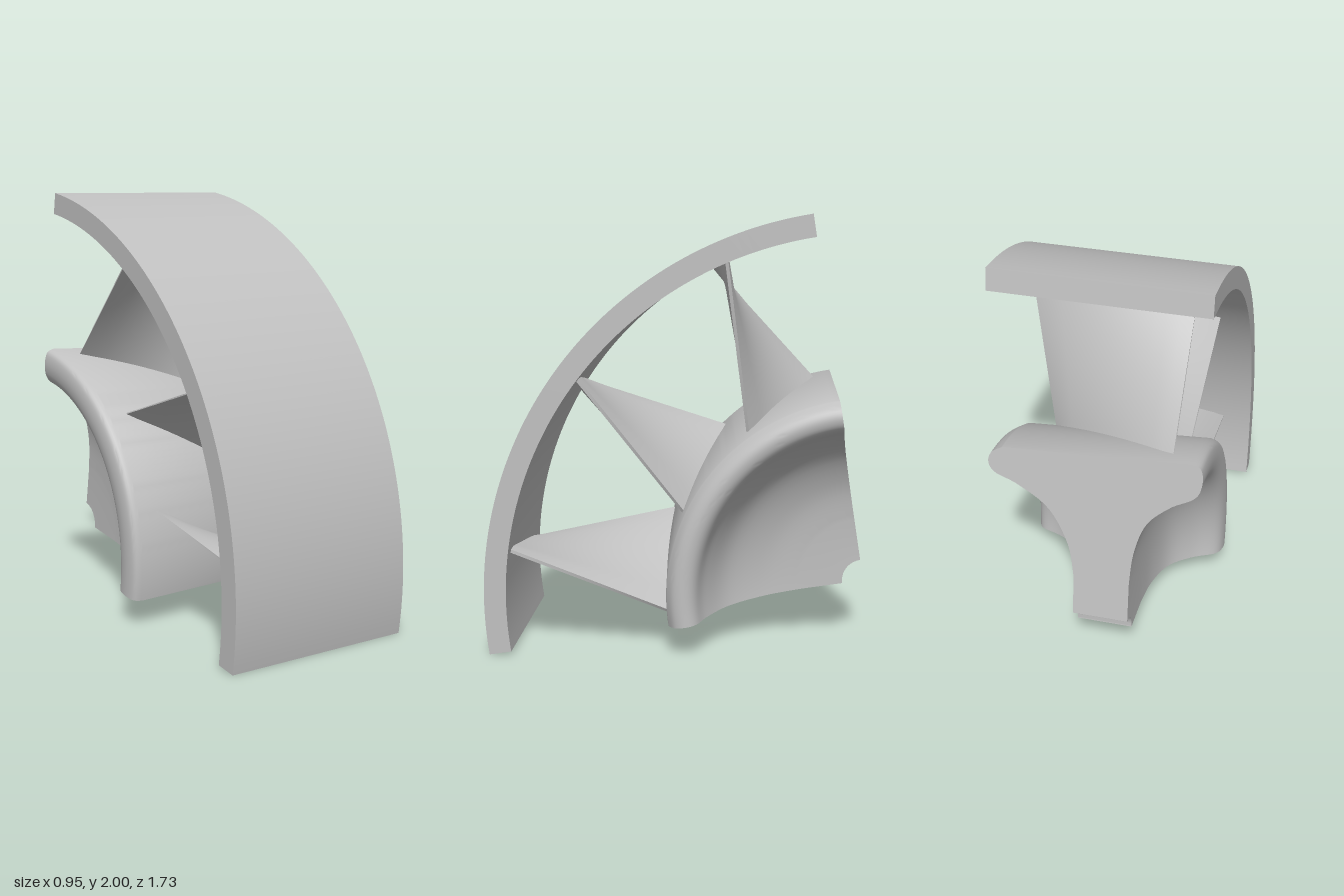
import * as THREE from 'three';
import { mergeGeometries, toCreasedNormals } from 'three/addons/utils/BufferGeometryUtils.js';

const rad = THREE.MathUtils.degToRad;
const START = rad(-9), SWEEP = rad(90);   // quarter sector
const AXIS = { y: 0.273, z: -0.874 };     // rotor axis, running along x

// Sweep a closed (x, radius) outline around the rotor axis and cap both cut ends.
function sector(outline, segments) {
  const pts = outline.map(([x, r]) => new THREE.Vector2(r, -x));
  const skin = new THREE.LatheGeometry([...pts, pts[0].clone()], segments, START, SWEEP);
  const startCap = new THREE.ShapeGeometry(new THREE.Shape(pts));
  const endCap = startCap.clone();
  endCap.index.array.reverse();
  startCap.rotateY(START - Math.PI / 2);
  endCap.rotateY(START + SWEEP - Math.PI / 2);
  const geo = toCreasedNormals(mergeGeometries([skin, startCap, endCap]), 0.6);
  geo.rotateZ(Math.PI / 2);
  return geo.translate(0, AXIS.y, AXIS.z);
}

// Smooth run of points through an (x, radius) list.
function smooth(list, n) {
  return new THREE.SplineCurve(list.map(p => new THREE.Vector2(...p)))
    .getPoints(n).map(p => [p.x, p.y]);
}

// Point at radius r and angle a around the rotor axis.
function polar(x, r, a) {
  return new THREE.Vector3(x, AXIS.y + r * Math.sin(a), AXIS.z + r * Math.cos(a));
}

// Twisted blade: steep pitch at the hub, slightly reversed at the shroud.
function bladeGeometry(centre) {
  const geo = new THREE.BoxGeometry(1, 1, 1, 12, 14, 2);
  const pos = geo.attributes.position;
  const lerp = THREE.MathUtils.lerp;
  const at = (u, v) => {
    const root = polar(lerp(-0.33, 0.28, u), 0.91, rad(centre + lerp(12.3, -12.2, u)));
    const tip = polar(lerp(-0.33, 0.4, u), 1.665, rad(centre + lerp(-1.8, 2, u)));
    return root.lerp(tip, v);
  };
  for (let i = 0; i < pos.count; i++) {
    const u = pos.getX(i) + 0.5, v = pos.getY(i) + 0.5, w = pos.getZ(i);
    const chord = at(1, v).sub(at(0, v));
    const span = at(u, 1).sub(at(u, 0));
    const normal = chord.clone().cross(span).normalize();
    // thicker towards the leading edge, rounded at both edges
    const edge = Math.sqrt(Math.max(0, 1 - Math.pow(Math.abs(2 * u - 1), 8)));
    const thick = lerp(0.018, 0.042, u) * (0.35 + 0.65 * edge);
    const p = at(u, v).addScaledVector(normal, w * thick);
    pos.setXYZ(i, p.x, p.y, p.z);
  }
  return toCreasedNormals(geo, 0.8);
}

export function createModel() {
  const group = new THREE.Group();
  const metal = new THREE.MeshStandardMaterial({ color: 0xc0c0c0 });
  metal.name = 'greyMetal';
  const add = (name, geo) => {
    const mesh = new THREE.Mesh(geo, metal);
    mesh.name = name;
    group.add(mesh);
  };

  // Outer ring segment
  add('shroud', sector([[0.475, 1.645], [0.475, 1.746], [-0.475, 1.746], [-0.475, 1.645]], 64));

  // Hub: narrow boss, concave webs and a wide, slightly conical rim with rounded lips
  const rightWeb = smooth([[0.08, 0.3], [0.11, 0.47], [0.2, 0.64], [0.34, 0.74],
    [0.445, 0.785], [0.475, 0.835], [0.46, 0.885], [0.41, 0.918]], 36);
  const leftWeb = smooth([[-0.43, 0.966], [-0.468, 0.945], [-0.475, 0.87], [-0.445, 0.8],
    [-0.34, 0.735], [-0.24, 0.63], [-0.19, 0.47], [-0.175, 0.3]], 36);
  add('hub', sector([[0.08, 0.1], ...rightWeb, ...leftWeb, [-0.175, 0.1]], 48));

  // Blades, 30 degrees apart
  [5, 35, 65].forEach((angle, i) => add('blade' + (i + 1), bladeGeometry(angle)));

  return group;
}
